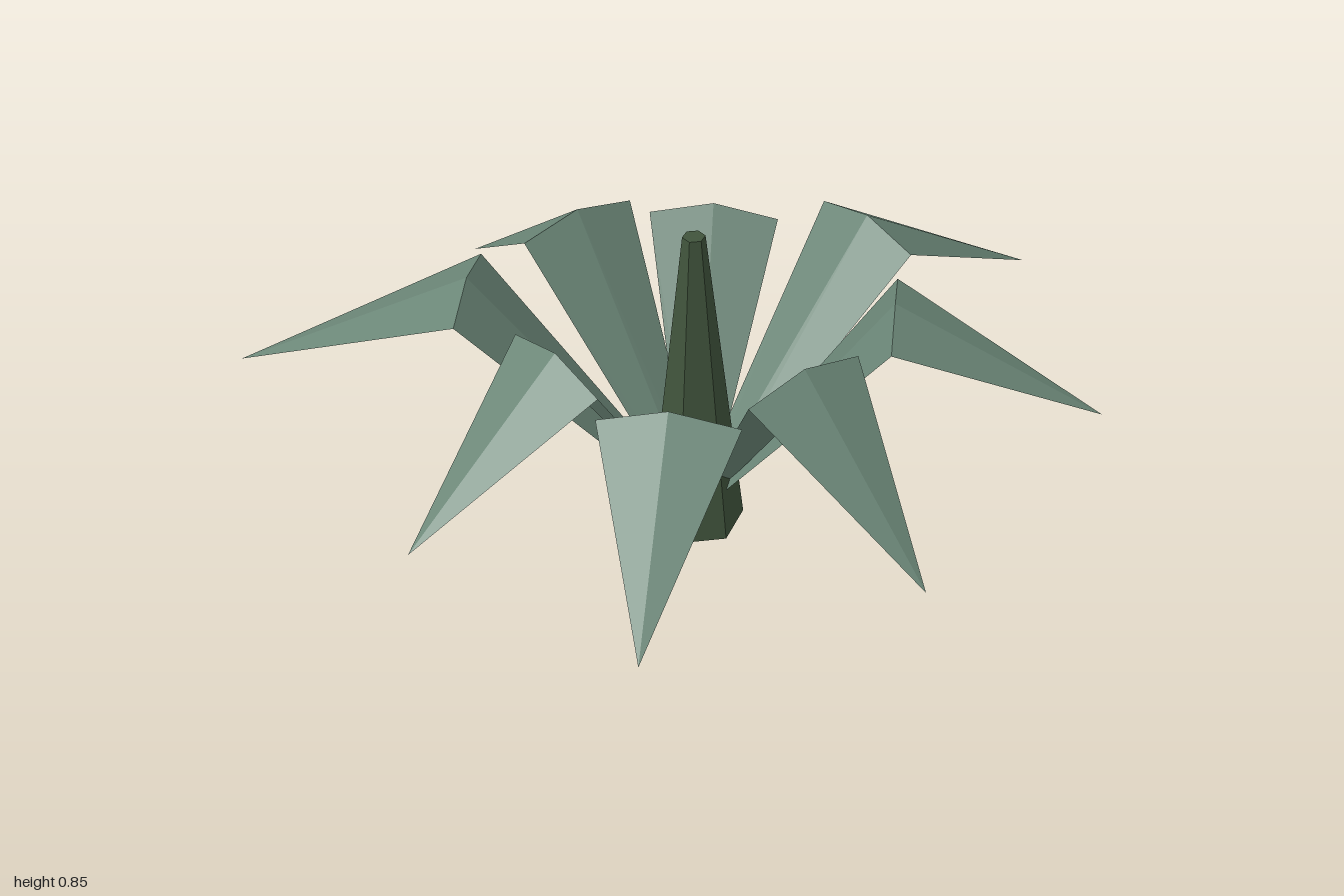
import * as THREE from 'three';

const leafGreen = new THREE.MeshStandardMaterial({ color: 0x6a8576, flatShading: true, side: THREE.DoubleSide });
leafGreen.name = 'leafGreen';
const stemGreen = new THREE.MeshStandardMaterial({ color: 0x40543c, flatShading: true });
stemGreen.name = 'stemGreen';

// A folded sheet growing along +z: narrow root, wide raised bend, drooping point.
function leafGeometry(bendR, tipR, tipY) {
  const section = (r, ridgeY, edgeY, halfWidth) => [
    [-halfWidth, edgeY, r], [0, ridgeY, r], [halfWidth, edgeY, r],
  ];
  const root = section(0, 0.025, 0.02, 0.027);
  const bend = section(bendR, 0.692, 0.655, 0.165);
  const tip = [0, tipY, tipR];
  const points = [];
  for (let i = 0; i < 2; i++) {
    points.push(root[i], bend[i], bend[i + 1], root[i], bend[i + 1], root[i + 1]);
    points.push(bend[i], tip, bend[i + 1]);
  }
  const geometry = new THREE.BufferGeometry();
  geometry.setAttribute('position', new THREE.Float32BufferAttribute(points.flat(), 3));
  geometry.computeVertexNormals();
  return geometry;
}

export function createModel() {
  const plant = new THREE.Group();
  plant.name = 'plant';
  plant.position.set(0.075, 0, 0.153);

  // Tapered six-sided stem
  const stem = new THREE.Mesh(new THREE.CylinderGeometry(0.028, 0.122, 0.848, 6), stemGreen);
  stem.name = 'stem';
  stem.rotation.y = Math.PI / 6;
  stem.position.y = 0.424;
  plant.add(stem);

  // Eight leaves counted from the front towards +x, in three lengths
  const short = [0.407, 0.84], medium = [0.481, 0.996], long = [0.555, 1.15];
  [short, medium, short, medium, long, short, medium, long].forEach(([bendR, tipR], i) => {
    const tipY = i % 2 ? 0.405 : 0.315; // diagonal leaves droop less
    const leaf = new THREE.Mesh(leafGeometry(bendR, tipR, tipY), leafGreen);
    leaf.name = `leaf${i + 1}`;
    leaf.rotation.y = i * Math.PI / 4;
    plant.add(leaf);
  });

  const model = new THREE.Group();
  model.name = 'leafyPlant';
  model.add(plant);
  return model;
}
